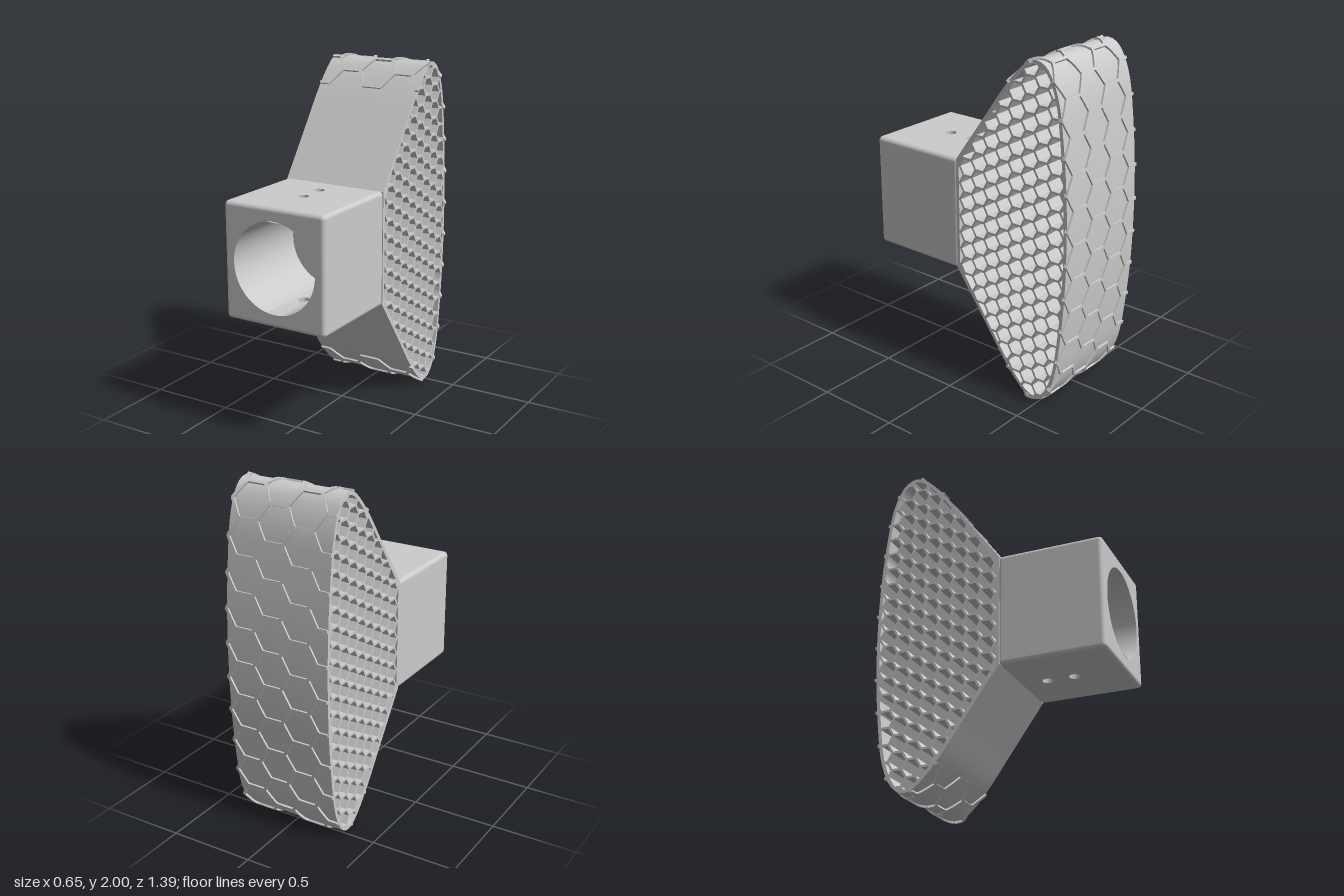
import * as THREE from 'three';
import { mergeGeometries, toCreasedNormals } from 'three/addons/utils/BufferGeometryUtils.js';
import { RoundedBoxGeometry } from 'three/addons/geometries/RoundedBoxGeometry.js';

const HALF = 0.32;              // half width in x
const MID = 1.0;                // height of the symmetry plane
const BACK = 0.075, FRONT = 0.695;
const grey = new THREE.MeshStandardMaterial({ color: 0xcccccc, side: THREE.DoubleSide });

function part(geometry, name) {
  const mesh = new THREE.Mesh(geometry, grey);
  mesh.name = name;
  return mesh;
}

function rectShape(x0, y0, x1, y1) {
  return new THREE.Shape([[x0, y0], [x1, y0], [x1, y1], [x0, y1]].map(p => new THREE.Vector2(...p)));
}

function circleHole(shape, x, y, r) {
  shape.holes.push(new THREE.Path().absarc(x, y, r, 0, Math.PI * 2, true));
}

// Side profile of the curved head: (-z, y), symmetric about y = 0
function makeProfile() {
  const half = [[-0.085, 0.33], [0.12, 0.615], [0.26, 0.81], [0.36, 0.925], [0.42, 0.973], [0.47, 0.988],
    [0.53, 0.965], [0.58, 0.895], [0.62, 0.78], [0.65, 0.58], [0.675, 0.3], [0.683, 0]];
  const lower = half.slice(0, -1).reverse().map(([u, v]) => [u, -v]);
  return new THREE.CatmullRomCurve3([...half, ...lower].map(([u, v]) => new THREE.Vector3(u, v, 0)));
}

// Keep the part of a polygon lying at least d inside the line a-b (clockwise outline)
function clip(poly, a, b, d) {
  const n = new THREE.Vector2(b.y - a.y, a.x - b.x).normalize();
  const dist = p => (p.x - a.x) * n.x + (p.y - a.y) * n.y - d;
  const out = [];
  poly.forEach((p, i) => {
    const q = poly[(i + 1) % poly.length], dp = dist(p), dq = dist(q);
    if (dp >= 0) out.push(p);
    if (dp * dq < 0) out.push(p.clone().lerp(q, dp / (dp - dq)));
  });
  return out;
}

// Honeycomb core and its thin outer skin, extruded across the width
function makeCore(profile) {
  const outline = profile.getSpacedPoints(120).map(p => new THREE.Vector2(p.x, p.y));
  const shape = new THREE.Shape(outline);
  const pitch = 0.1, wall = 0.013, col = pitch * Math.sqrt(3) / 2;
  const R = (pitch - wall) / Math.sqrt(3);
  for (let c = -2; c < 10; c++) {
    for (let r = -11; r <= 11; r++) {
      const cx = c * col, cy = (r + (c & 1) / 2) * pitch;
      let cell = [];
      for (let k = 0; k < 6; k++) {
        const a = k * Math.PI / 3;
        cell.push(new THREE.Vector2(cx + R * Math.cos(a), cy + R * Math.sin(a)));
      }
      outline.forEach((a, i) => { cell = clip(cell, a, outline[(i + 1) % outline.length], 0.02); });
      if (cell.length > 2 && Math.abs(THREE.ShapeUtils.area(cell)) > 0.0003) {
        shape.holes.push(new THREE.Path(cell));
      }
    }
  }
  const geo = new THREE.ExtrudeGeometry(shape, { depth: 2 * HALF, bevelEnabled: false });
  geo.rotateY(Math.PI / 2).translate(-HALF, MID, 0);
  return part(toCreasedNormals(geo, 0.5), 'honeycombCore');
}

// Raised hexagonal ribs wrapped around the outside of the head
function makeRibs(profile) {
  const L = profile.getLength(), start = 0.63, pitch = 0.2;
  const col = pitch * Math.sqrt(3) / 2, R = pitch / Math.sqrt(3);
  const pieces = [];
  const onSurface = p => {
    const q = profile.getPointAt(p.y / L);
    return new THREE.Vector3(p.x, q.y + MID, -q.x);
  };
  const addPiece = (p, q) => {
    const a = onSurface(p), b = onSurface(q);
    const t = profile.getTangentAt((p.y + q.y) / 2 / L);
    const n = new THREE.Vector3(0, t.x, t.y);
    const d = b.clone().sub(a);
    const len = d.length();
    if (len < 1e-4) return;
    d.normalize();
    const side = d.clone().cross(n).normalize();
    const box = new THREE.BoxGeometry(len + 0.006, 0.022, 0.018);
    const m = new THREE.Matrix4().makeBasis(d, side.clone().cross(d), side);
    m.setPosition(a.add(b).multiplyScalar(0.5));
    pieces.push(box.applyMatrix4(m));
  };
  const inside = p => Math.abs(p.x) <= HALF + 1e-6 && p.y > start && p.y < L - start;
  for (let c = -3; c <= 3; c++) {
    for (let r = -12; r <= 12; r++) {
      const corner = k => new THREE.Vector2(
        c * col + 0.03 + R * Math.cos(k * Math.PI / 3),
        L / 2 + (r + (c & 1) / 2) * pitch + R * Math.sin(k * Math.PI / 3));
      for (let k = 0; k < 3; k++) {
        const a = corner(k), b = corner(k + 1), steps = 6;
        for (let i = 0; i < steps; i++) {
          const p = a.clone().lerp(b, i / steps), q = a.clone().lerp(b, (i + 1) / steps);
          if (inside(p) && inside(q)) addPiece(p, q);
        }
      }
    }
  }
  return part(mergeGeometries(pieces), 'hexRibs');
}

// Socket block: rounded box with a blind bore and two cross holes
function makeSocket() {
  const socket = new THREE.Group();
  socket.name = 'socket';
  const h = 0.335, edge = 0.025, bore = 0.26, floor = 0.12, pin = 0.033, patch = 0.05;
  const zc = (BACK + FRONT) / 2, depth = FRONT - BACK, pins = [0.245, 0.405];

  // Rounded box without its flat top, bottom and front faces
  const box = new RoundedBoxGeometry(2 * HALF, 2 * h, depth, 3, edge);
  const pos = box.attributes.position, nor = box.attributes.normal, keptPos = [], keptNor = [];
  for (let i = 0; i < pos.count; i += 3) {
    const ids = [i, i + 1, i + 2];
    const open = ids.every(j => Math.abs(nor.getY(j)) > 0.999) || ids.every(j => nor.getZ(j) > 0.999);
    if (open) continue;
    for (const j of ids) {
      keptPos.push(pos.getX(j), pos.getY(j), pos.getZ(j));
      keptNor.push(nor.getX(j), nor.getY(j), nor.getZ(j));
    }
  }
  const shell = new THREE.BufferGeometry();
  shell.setAttribute('position', new THREE.Float32BufferAttribute(keptPos, 3));
  shell.setAttribute('normal', new THREE.Float32BufferAttribute(keptNor, 3));
  socket.add(part(shell.translate(0, 0, zc), 'socketShell'));

  // Front face with the bore opening, and the floor of the bore
  const face = rectShape(-HALF + edge, -h + edge, HALF - edge, h - edge);
  circleHole(face, 0, 0, bore);
  socket.add(part(new THREE.ShapeGeometry(face, 32).translate(0, 0, FRONT), 'frontFace'));
  socket.add(part(new THREE.CircleGeometry(bore, 64).translate(0, 0, floor), 'boreFloor'));

  // Upper half: drilled plate, drilled strip of the bore, bore side, pin holes
  const upper = new THREE.Group();
  upper.name = 'upperHalf';
  const plate = rectShape(-HALF + edge, -FRONT + edge, HALF - edge, -BACK - edge);
  const strip = rectShape(-patch, -FRONT, patch, -floor);
  for (const z of pins) {
    circleHole(plate, 0, -z, pin);
    circleHole(strip, 0, -z, pin);
    const tunnel = new THREE.CylinderGeometry(pin, pin, h - 0.258, 24, 1, true);
    upper.add(part(tunnel.translate(0, (h + 0.258) / 2, z), 'pinHole'));
  }
  upper.add(part(new THREE.ShapeGeometry(plate, 12).rotateX(-Math.PI / 2).translate(0, h, 0), 'plate'));
  const stripGeo = new THREE.ShapeGeometry(strip, 12).rotateX(-Math.PI / 2);
  const sp = stripGeo.attributes.position;
  for (let i = 0; i < sp.count; i++) sp.setY(i, Math.sqrt(bore * bore - sp.getX(i) ** 2));
  stripGeo.computeVertexNormals();
  upper.add(part(stripGeo, 'boreStrip'));
  const a0 = Math.asin(patch / bore);
  const wall = new THREE.CylinderGeometry(bore, bore, FRONT - floor, 32, 1, true, a0, Math.PI - 2 * a0);
  upper.add(part(wall.rotateX(-Math.PI / 2).translate(0, 0, (FRONT + floor) / 2), 'boreWall'));

  // Lower half repeats the upper one turned about the bore axis
  const lower = upper.clone();
  lower.name = 'lowerHalf';
  lower.rotation.z = Math.PI;
  socket.add(upper, lower);
  socket.position.y = MID;
  return socket;
}

export function createModel() {
  const model = new THREE.Group();
  model.name = 'honeycombHead';
  const profile = makeProfile();
  model.add(makeCore(profile), makeRibs(profile), makeSocket());
  return model;
}
